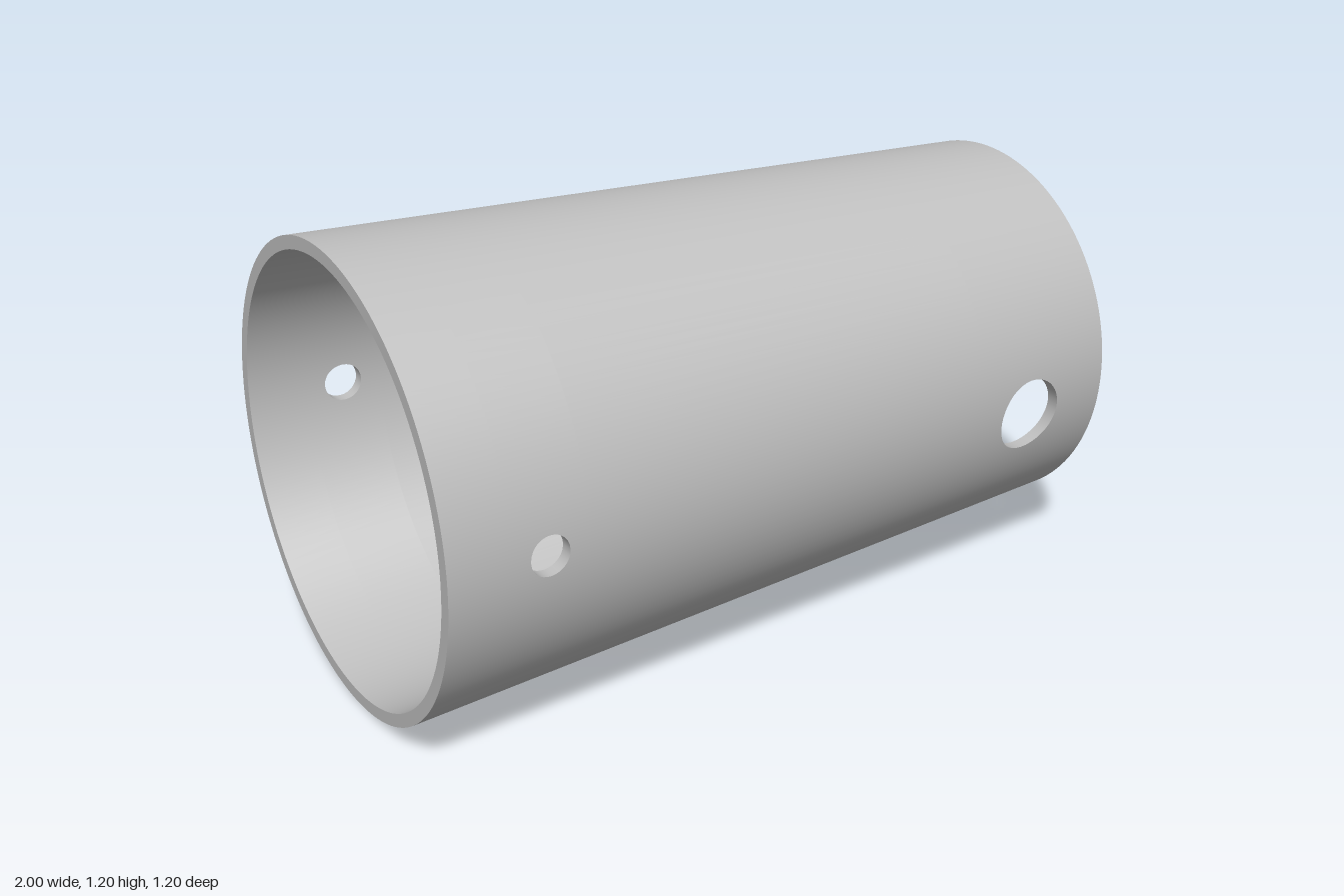
import * as THREE from 'three';

const AXIS_Y = 0.6, STEPS = 128, DT = (Math.PI * 2) / STEPS;
const SLOPE = 0.0433, WALL = 0.034;
const outerR = (x) => 0.5557 - SLOPE * x;
const innerR = (x) => outerR(x) - WALL;

// Drilled holes: centre (x, y from the axis), radius, side (+1 front, -1 back),
// and the patch around each: x range and angle range in steps.
const HOLES = [
  { x: -0.743, y: 0, r: 0.051, side: 1, x0: -0.84, x1: -0.64, t0: -4, t1: 4 },
  { x: -0.743, y: 0, r: 0.051, side: -1, x0: -0.84, x1: -0.64, t0: -4, t1: 4 },
  { x: 0.738, y: -0.056, r: 0.101, side: 1, x0: 0.57, x1: 0.9, t0: -8, t1: 4 },
];

// Grid of quads; fn(i, j) returns [position, normal]. Triangles face their normals.
function grid(nu, nv, fn) {
  const pos = [], nor = [], index = [], pts = [], nrm = [];
  for (let i = 0; i <= nu; i++) {
    for (let j = 0; j <= nv; j++) {
      const [p, n] = fn(i, j);
      n.normalize();
      pts.push(p); nrm.push(n);
      pos.push(p.x, p.y, p.z);
      nor.push(n.x, n.y, n.z);
    }
  }
  const tri = (a, b, c) => {
    const e = pts[b].clone().sub(pts[a]).cross(pts[c].clone().sub(pts[a]));
    if (e.dot(nrm[a]) < 0) index.push(a, c, b);
    else index.push(a, b, c);
  };
  for (let i = 0; i < nu; i++) {
    for (let j = 0; j < nv; j++) {
      const a = i * (nv + 1) + j, b = a + nv + 1;
      tri(a, b, a + 1);
      tri(b, b + 1, a + 1);
    }
  }
  const geo = new THREE.BufferGeometry();
  geo.setAttribute('position', new THREE.Float32BufferAttribute(pos, 3));
  geo.setAttribute('normal', new THREE.Float32BufferAttribute(nor, 3));
  geo.setIndex(index);
  return geo;
}

// Point on a cone surface at x and angle t (0 = front), with its normal
function onCone(radius, x, t, side, facing) {
  const r = radius(x), s = Math.sin(t), c = Math.cos(t) * side;
  return [
    new THREE.Vector3(x, AXIS_Y + r * s, r * c),
    new THREE.Vector3(SLOPE, s, c).multiplyScalar(facing),
  ];
}

// Closed outline of a patch as [x, angle], with points on every angle step
function patchOutline(h) {
  const n = h.t1 - h.t0, pts = [];
  const X = (k) => h.x0 + ((h.x1 - h.x0) * k) / n;
  for (let k = 0; k < n; k++) pts.push([h.x1, (h.t0 + k) * DT]);
  for (let k = 0; k < n; k++) pts.push([X(n - k), h.t1 * DT]);
  for (let k = 0; k < n; k++) pts.push([h.x0, (h.t1 - k) * DT]);
  for (let k = 0; k < n; k++) pts.push([X(k), h.t0 * DT]);
  pts.push(pts[0]);
  return pts;
}

// Point of the hole's edge that belongs to an outline point, as [x, angle, direction]
function holeEdge(h, [x, t], radius) {
  const a = Math.atan2(outerR(h.x) * Math.sin(t) - h.y, x - h.x);
  const hx = h.x + h.r * Math.cos(a);
  return [hx, Math.asin((h.y + h.r * Math.sin(a)) / radius(hx)), a];
}

export function createModel() {
  const model = new THREE.Group();
  model.name = 'taperedSleeve';
  const grey = new THREE.MeshStandardMaterial({ color: 0xc0c0c0 });
  grey.name = 'metalGrey';

  const add = (parent, name, geo) => {
    const mesh = new THREE.Mesh(geo, grey);
    mesh.name = name;
    parent.add(mesh);
  };

  // Outer and inner walls
  const front = HOLES[0], big = HOLES[2];
  const bands = [
    { x0: -1, x1: front.x0, runs: [[0, STEPS]] },
    { x0: front.x0, x1: front.x1, runs: [[4, 60], [68, 124]] },
    { x0: front.x1, x1: big.x0, runs: [[0, STEPS]] },
    { x0: big.x0, x1: big.x1, runs: [[big.t1, STEPS + big.t0]] },
    { x0: big.x1, x1: 1, runs: [[0, STEPS]] },
  ];
  for (const [name, radius, facing] of [['outerWall', outerR, 1], ['innerWall', innerR, -1]]) {
    const wall = new THREE.Group();
    wall.name = name;
    model.add(wall);
    for (const b of bands) {
      for (const [s, e] of b.runs) {
        add(wall, name + 'Band', grid(e - s, 1, (i, j) =>
          onCone(radius, j ? b.x1 : b.x0, (s + i) * DT, 1, facing)));
      }
    }
    // Wall surface around each hole
    for (const h of HOLES) {
      const outline = patchOutline(h);
      add(wall, name + 'HolePatch', grid(outline.length - 1, 6, (i, j) => {
        const [hx, ht] = holeEdge(h, outline[i], radius), [x, t] = outline[i], k = j / 6;
        return onCone(radius, hx + (x - hx) * k, ht + (t - ht) * k, h.side, facing);
      }));
    }
  }

  // Cut faces through the wall thickness
  HOLES.forEach((h, n) => {
    const outline = patchOutline(h);
    add(model, ['smallFrontHole', 'smallBackHole', 'largeFrontHole'][n],
      grid(outline.length - 1, 1, (i, j) => {
        const radius = j ? innerR : outerR;
        const [x, t, a] = holeEdge(h, outline[i], radius);
        return [onCone(radius, x, t, h.side, 1)[0],
          new THREE.Vector3(-Math.cos(a), -Math.sin(a), 0)];
      }));
  });

  // Flat end rims
  for (const x of [-1, 1]) {
    add(model, x < 0 ? 'wideEndRim' : 'narrowEndRim', grid(STEPS, 1, (i, j) =>
      [onCone(j ? innerR : outerR, x, i * DT, 1, 1)[0], new THREE.Vector3(x, 0, 0)]));
  }
  return model;
}
